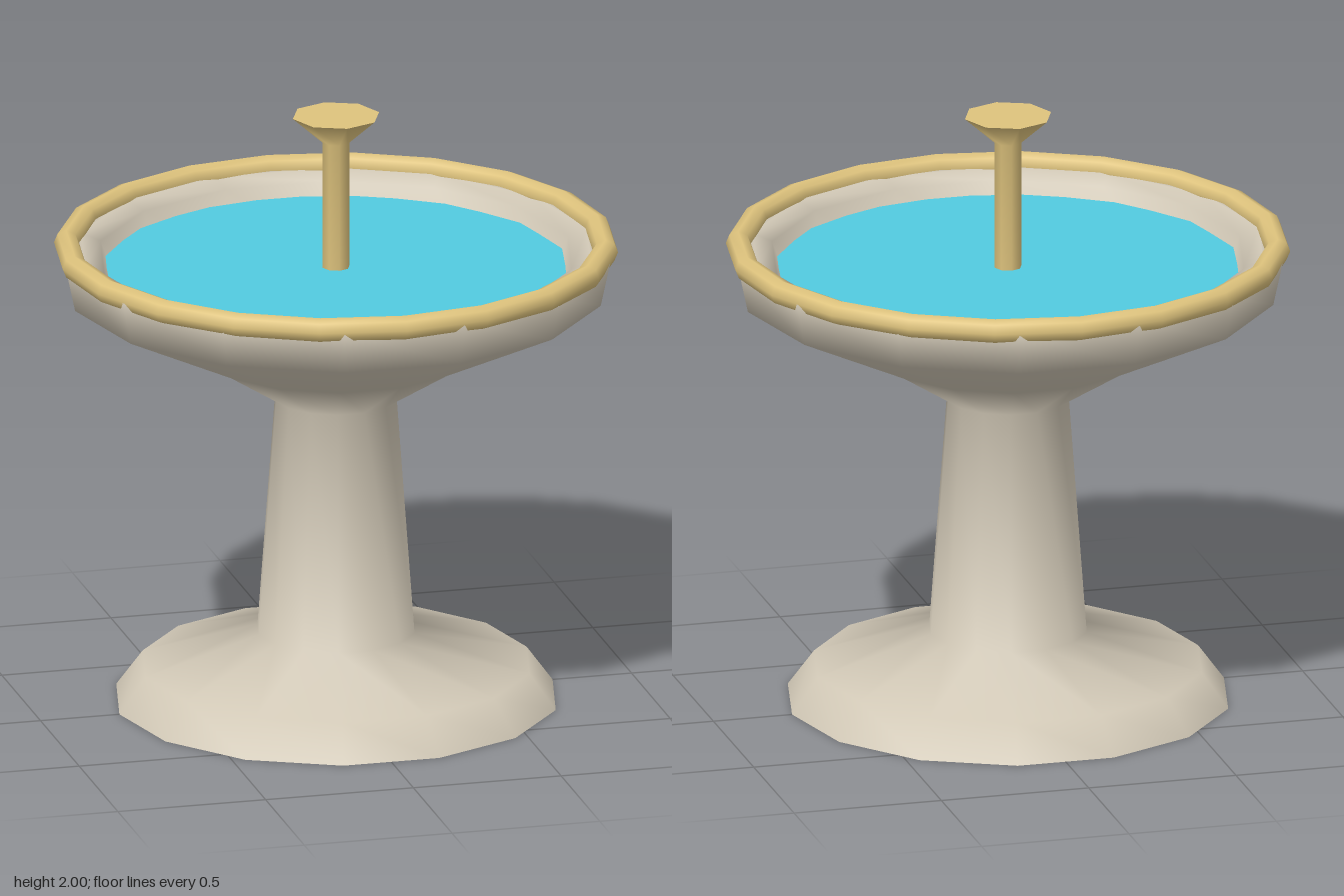
import * as THREE from 'three';

export function createModel() {
  const stone = new THREE.MeshStandardMaterial({ color: 0xd1c8b6 });
  stone.name = 'stone';
  const brass = new THREE.MeshStandardMaterial({ color: 0xdec37d });
  brass.name = 'brass';
  const waterBlue = new THREE.MeshStandardMaterial({ color: 0x52cbe0 });
  waterBlue.name = 'waterBlue';

  const model = new THREE.Group();
  model.name = 'fountain';
  const add = (name, geometry, material, y = 0) => {
    const mesh = new THREE.Mesh(geometry, material);
    mesh.name = name;
    mesh.position.y = y;
    model.add(mesh);
  };
  // Smooth turned body from [radius, height] pairs, with a corner on the x axis
  const turned = (points, sides) => new THREE.LatheGeometry(
    points.map(([r, y]) => new THREE.Vector2(r, y)), sides, Math.PI / 2);
  // Flat disc facing up (or down)
  const disc = (radius, sides, up = true) =>
    new THREE.CircleGeometry(radius, sides).rotateX(up ? -Math.PI / 2 : Math.PI / 2);

  // Foot, pedestal and bowl, up the outside and down the inside
  add('pedestalAndBowl', turned([
    [0.733, 0], [0.645, 0.12], [0.262, 0.235], [0.203, 1.035], [0.45, 1.19],
    [0.883, 1.4], [0.914, 1.545], [0.85, 1.545], [0.785, 1.52], [0.71, 1.32], [0, 1.25],
  ], 14), stone);
  add('footUnderside', disc(0.733, 14, false), stone);

  // Moulded ring around the bowl's lip
  add('rim', new THREE.TorusGeometry(0.884, 0.041, 8, 20).rotateX(-Math.PI / 2), brass, 1.547);

  // Water surface
  add('water', disc(0.765, 16), waterBlue, 1.48);

  // Spout: slim pipe flaring into a flat head
  add('spout', turned([[0.045, 1.4], [0.045, 1.91], [0.146, 2]], 8), brass);
  add('spoutTop', disc(0.146, 8), brass, 2);

  return model;
}
